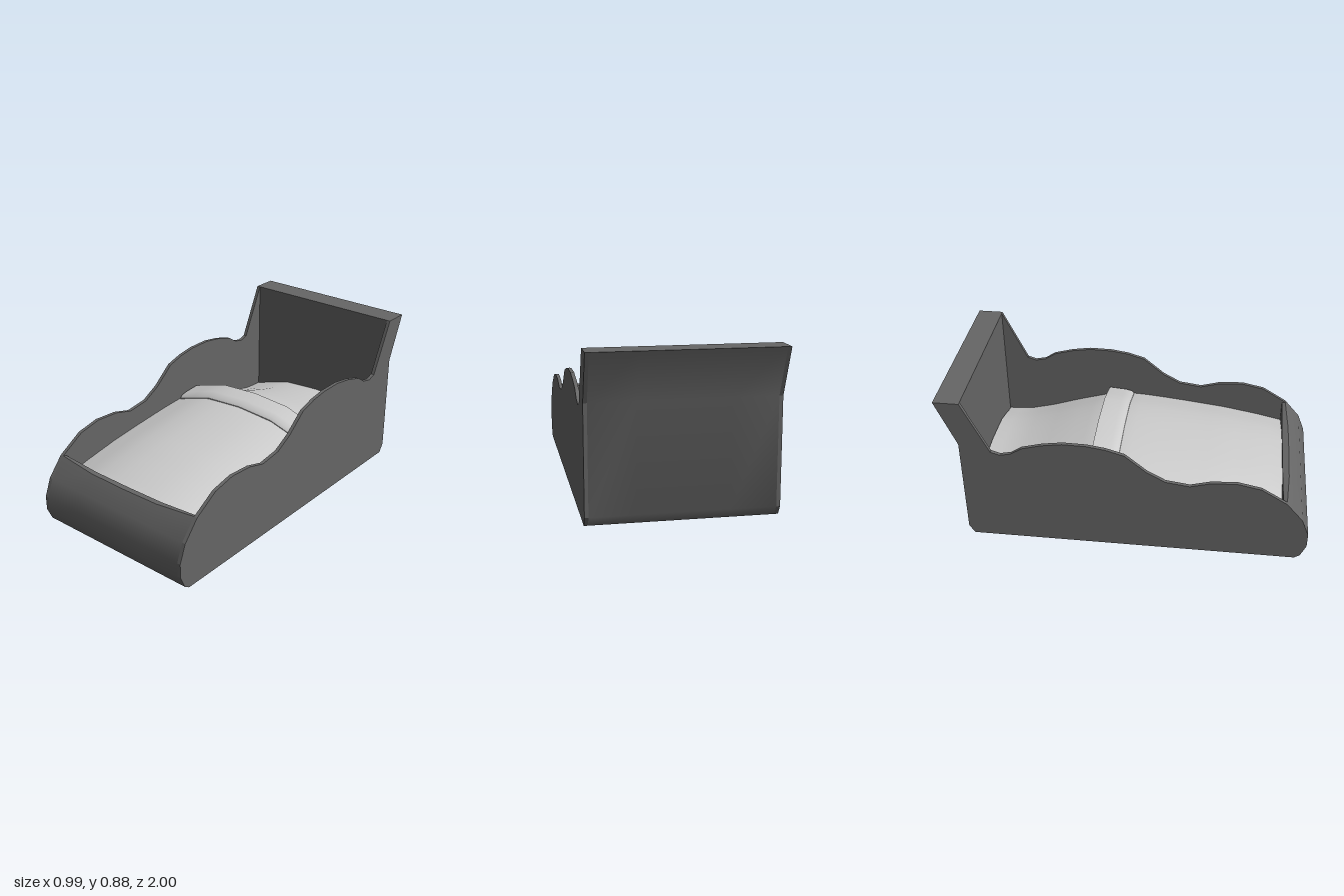
import * as THREE from 'three';
import { toCreasedNormals } from 'three/addons/utils/BufferGeometryUtils.js';

const frameMat = new THREE.MeshStandardMaterial({ color: 0x666666 });
const beddingMat = new THREE.MeshStandardMaterial({ color: 0xcccccc });

// Outer outline of the bed in (z, y)
const front = [[0.94, 0], [0.97, 0.02], [1, 0.09], [1, 0.17], [0.96, 0.27], [0.87, 0.375]];
const wave = [[0.73, 0.46], [0.6, 0.487], [0.46, 0.478], [0.35, 0.447], [0.22, 0.465], [0.12, 0.52],
  [0, 0.62], [-0.1, 0.65], [-0.2, 0.665], [-0.33, 0.667], [-0.44, 0.65], [-0.55, 0.62],
  [-0.61, 0.58], [-0.67, 0.567], [-0.72, 0.583]];
const back = [[-0.86, 0.88], [-1, 0.88], [-0.89, 0.62], [-0.89, 0.05], [-0.86, 0]];

const HALF = 0.495, WALL = 0.02;

// Extrude a (z, y) outline along x, centred on x = 0
function extrudeX(points, width, steps = 1) {
  const shape = new THREE.Shape(points.map(([z, y]) => new THREE.Vector2(-z, y)));
  const geo = new THREE.ExtrudeGeometry(shape, { depth: width, steps, bevelEnabled: false });
  return geo.translate(0, 0, -width / 2).rotateY(Math.PI / 2);
}

// Move every vertex of a geometry by a rule
function reshape(geo, rule) {
  const p = geo.attributes.position, v = new THREE.Vector3();
  for (let i = 0; i < p.count; i++) {
    rule(v.fromBufferAttribute(p, i));
    p.setXYZ(i, v.x, v.y, v.z);
  }
  return toCreasedNormals(geo, 0.6);
}

// Linear interpolation through [position, value] pairs
function sample(table, t) {
  for (let i = 1; i < table.length; i++) {
    const [a, va] = table[i - 1], [b, vb] = table[i];
    if (t <= b) return THREE.MathUtils.lerp(va, vb, THREE.MathUtils.clamp((t - a) / (b - a), 0, 1));
  }
  return table[table.length - 1][1];
}

// Mattress height along the bed and its fall towards the sides
const lengthwise = [[-0.86, 0.29], [-0.72, 0.3], [-0.58, 0.335], [-0.4, 0.395], [-0.21, 0.45],
  [-0.06, 0.465], [0.1, 0.452], [0.3, 0.43], [0.5, 0.405], [0.7, 0.37], [0.86, 0.335]];
const crown = [[0, 0], [0.23, 0.015], [0.42, 0.07], [0.47, 0.09]];

export function createModel() {
  const bed = new THREE.Group();
  const add = (name, geo, mat) => {
    const mesh = new THREE.Mesh(geo, mat);
    mesh.name = name;
    bed.add(mesh);
    return mesh;
  };

  // Car-shaped side panels
  for (const side of [1, -1]) {
    const panel = add(side > 0 ? 'leftSidePanel' : 'rightSidePanel',
      toCreasedNormals(extrudeX([...front, ...wave, ...back], WALL), 0.3), frameMat);
    panel.position.x = side * (HALF - WALL / 2);
  }

  // Rounded footboard, base and flared headboard in one strip, with a dipped footboard edge
  const tub = extrudeX([...front, [0.85, 0.37], [0.85, 0.2], [-0.86, 0.2], [-0.86, 0.87], ...back.slice(1)]
    .map(([z, y]) => [z, y === 0.87 ? 0.88 : y]), 2 * (HALF - WALL), 4);
  add('footboardAndHeadboard', reshape(tub, v => {
    if (v.z > 0.8 && v.z < 0.9 && v.y > 0.3) {
      const dip = 0.02 * (1 - Math.pow(Math.abs(v.x) / 0.475, 3));
      v.y -= dip;
      if (v.z > 0.86) v.z += dip * 0.85;
    }
  }), frameMat);

  // Mattress with a crowned top
  add('mattress', reshape(new THREE.BoxGeometry(0.94, 0.2, 1.71, 8, 1, 24), v => {
    v.y = v.y > 0 ? sample(lengthwise, v.z) - sample(crown, Math.abs(v.x)) : 0.19;
  }), beddingMat);

  // Turned-back blanket fold
  const fold = extrudeX([[-0.06, 0.44], [-0.06, 0.468], [-0.075, 0.483], [-0.11, 0.492],
    [-0.21, 0.5], [-0.21, 0.44]], 0.92, 8);
  add('blanketFold', reshape(fold, v => { v.y -= sample(crown, Math.abs(v.x)); }), beddingMat);

  return bed;
}
